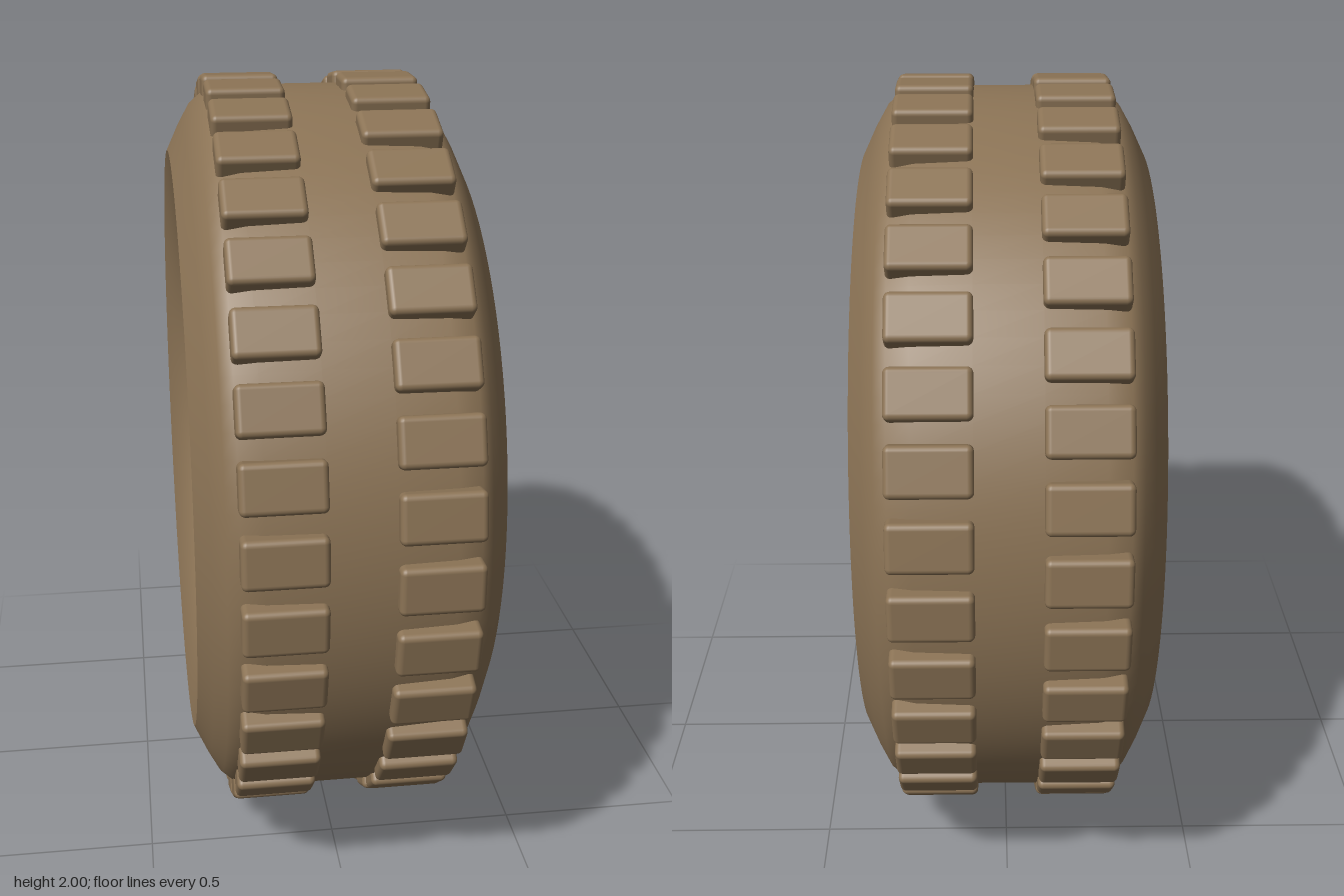
import * as THREE from 'three';
import { RoundedBoxGeometry } from 'three/addons/geometries/RoundedBoxGeometry.js';

const rubber = new THREE.MeshStandardMaterial({ color: 0x8b7355, side: THREE.DoubleSide });
rubber.name = 'rubber';
const rimMetal = new THREE.MeshStandardMaterial({ color: 0xb58259, side: THREE.DoubleSide });
rimMetal.name = 'rim metal';
const hubMetal = new THREE.MeshStandardMaterial({ color: 0x9c8070, side: THREE.DoubleSide });
hubMetal.name = 'hub metal';

// Surface of revolution about the x axis from [x, radius] pairs
function revolve(name, profile, material) {
  const points = profile.map(([x, r]) => new THREE.Vector2(r, x));
  const geometry = new THREE.LatheGeometry(points, 96).rotateZ(-Math.PI / 2);
  const mesh = new THREE.Mesh(geometry, material);
  mesh.name = name;
  return mesh;
}

// Ring of studs lying along the x axis
function studRing(name, { count, ring, radius, x0, x1, start }, material) {
  const group = new THREE.Group();
  group.name = name + 's';
  const geometry = new THREE.CylinderGeometry(radius, radius, x1 - x0, 24).rotateZ(-Math.PI / 2);
  for (let i = 0; i < count; i++) {
    const a = start + (i / count) * Math.PI * 2;
    const stud = new THREE.Mesh(geometry, material);
    stud.name = name;
    stud.position.set((x0 + x1) / 2, Math.sin(a) * ring, -Math.cos(a) * ring);
    group.add(stud);
  }
  return group;
}

export function createModel() {
  const model = new THREE.Group();
  const wheel = new THREE.Group();
  wheel.name = 'wheel';
  wheel.position.y = 1;
  model.add(wheel);

  // Tyre: crown with rounded shoulders
  const shoulder = [[0.37, 0.8], [0.335, 0.873], [0.305, 0.925], [0.275, 0.95], [0.22, 0.963], [0.08, 0.97]];
  const mirrored = shoulder.map(([x, r]) => [-x, r]);
  wheel.add(revolve('tyreCrown', [...mirrored, ...shoulder.slice().reverse()], rubber));

  for (const s of [-1, 1]) {
    const side = (profile) => {
      const p = profile.map(([x, r]) => [s * x, r]);
      return s > 0 ? p : p.reverse();
    };
    // Sidewall sloping in to the rim, and the rim lip
    wheel.add(revolve('tyreSidewall',
      side([[0.37, 0.8], [0.352, 0.74], [0.325, 0.685], [0.29, 0.638], [0.25, 0.61]]), rubber));
    wheel.add(revolve('rimLip', side([[0.25, 0.612], [0.267, 0.605], [0.27, 0.595]]), rimMetal));
    wheel.add(revolve('rimLipInner', side([[0.27, 0.595], [0.265, 0.582], [0.25, 0.575]]), rimMetal));
  }

  // Tread blocks: two staggered rows
  const tread = new THREE.Group();
  tread.name = 'tread';
  const block = new RoundedBoxGeometry(0.2, 0.065, 0.12, 3, 0.015);
  const perRow = 36;
  for (const s of [-1, 1]) {
    for (let i = 0; i < perRow; i++) {
      const a = ((i + (s < 0 ? 0.5 : 0)) / perRow) * Math.PI * 2;
      const mesh = new THREE.Mesh(block, rubber);
      mesh.name = 'treadBlock';
      mesh.position.set(s * 0.178, Math.cos(a) * 0.967, Math.sin(a) * 0.967);
      mesh.rotation.x = a;
      tread.add(mesh);
    }
  }
  wheel.add(tread);

  // Rim: barrel, flared skirt and dished disc
  wheel.add(revolve('rimBarrel', [[0.25, 0.575], [-0.25, 0.575]], rimMetal));
  wheel.add(revolve('discSkirt', [[-0.23, 0.575], [-0.08, 0.512]], rimMetal));
  wheel.add(revolve('disc', [[-0.08, 0.512], [-0.115, 0.19]], rimMetal));
  wheel.add(revolve('discCentre', [[-0.115, 0.19], [-0.115, 0]], rimMetal));

  // Hub on the -x side, with its seam showing on the +x side
  wheel.add(revolve('hubWall', [[-0.16, 0.19], [-0.118, 0.19]], hubMetal));
  wheel.add(revolve('hubBevel', [[-0.18, 0.172], [-0.16, 0.19]], hubMetal));
  wheel.add(revolve('hubFace', [[-0.18, 0], [-0.18, 0.172]], hubMetal));
  wheel.add(revolve('hubSeam', [[-0.116, 0.19], [-0.11, 0.19], [-0.11, 0.184], [-0.116, 0.184]], hubMetal));
  wheel.add(studRing('hubBolt',
    { count: 5, ring: 0.15, radius: 0.023, x0: -0.12, x1: -0.1, start: Math.PI / 2 }, hubMetal));

  // Large lugs through the disc
  wheel.add(studRing('discLug',
    { count: 6, ring: 0.42, radius: 0.06, x0: -0.137, x1: -0.092, start: 0.24 }, rubber));

  return model;
}
